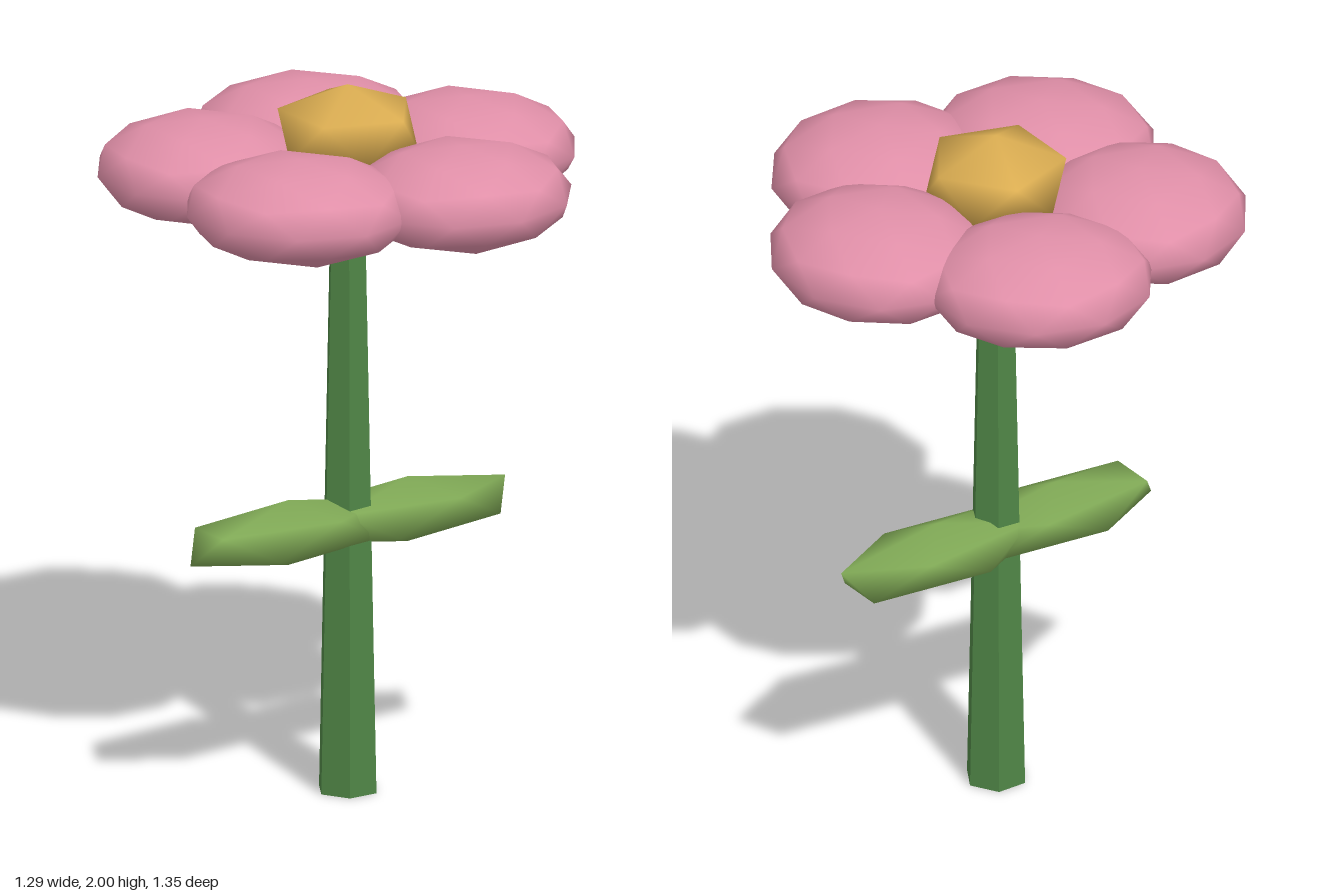
import * as THREE from 'three';

const AXIS_X = -0.03; // the stem stands slightly off centre

const material = (color, flatShading = false) => {
  const m = new THREE.MeshStandardMaterial({ color });
  m.flatShading = flatShading;
  return m;
};

// Unit icosphere with a vertex at each pole, an upper-ring vertex at +x and smooth normals
function icosphere(detail) {
  const g = new THREE.IcosahedronGeometry(1, detail);
  g.rotateZ(Math.atan2(2, 1 + Math.sqrt(5)));
  g.rotateY(Math.PI);
  g.setAttribute('normal', g.attributes.position.clone());
  return g;
}

export function createModel() {
  const flower = new THREE.Group();
  flower.name = 'flower';

  const add = (name, geometry, mat, position, scale = [1, 1, 1], turn = 0) => {
    const mesh = new THREE.Mesh(geometry, mat);
    mesh.name = name;
    mesh.position.set(...position);
    mesh.scale.set(...scale);
    mesh.rotation.y = turn;
    flower.add(mesh);
  };

  // Tapered six-sided stem, corners facing left and right
  const stem = new THREE.CylinderGeometry(0.049, 0.0865, 1.8, 6);
  stem.rotateY(Math.PI / 6);
  add('stem', stem, material(0x4f8546, true), [AXIS_X, 0.9, 0]);

  // Two leaves overlapping inside the stem
  const coarse = icosphere(0);
  const leafGreen = material(0x7fa855);
  for (const [name, side] of [['leftLeaf', 1], ['rightLeaf', -1]]) {
    add(name, coarse, leafGreen, [AXIS_X + side * 0.195, 0.762, 0], [0.358, 0.092, 0.13]);
  }

  // Ring of five flattened petals, a little wider than long
  const fine = icosphere(1);
  const pink = material(0xe08fa8);
  for (let i = 0; i < 5; i++) {
    const a = (i * Math.PI * 2) / 5;
    add(`petal${i + 1}`, fine, pink,
      [AXIS_X + 0.39 * Math.cos(a), 1.76, -0.39 * Math.sin(a)], [0.3, 0.14, 0.32], a);
  }

  // Domed flower centre
  add('flowerCentre', coarse, material(0xdcae52), [AXIS_X, 1.873, 0], [0.213, 0.127, 0.213]);

  return flower;
}
